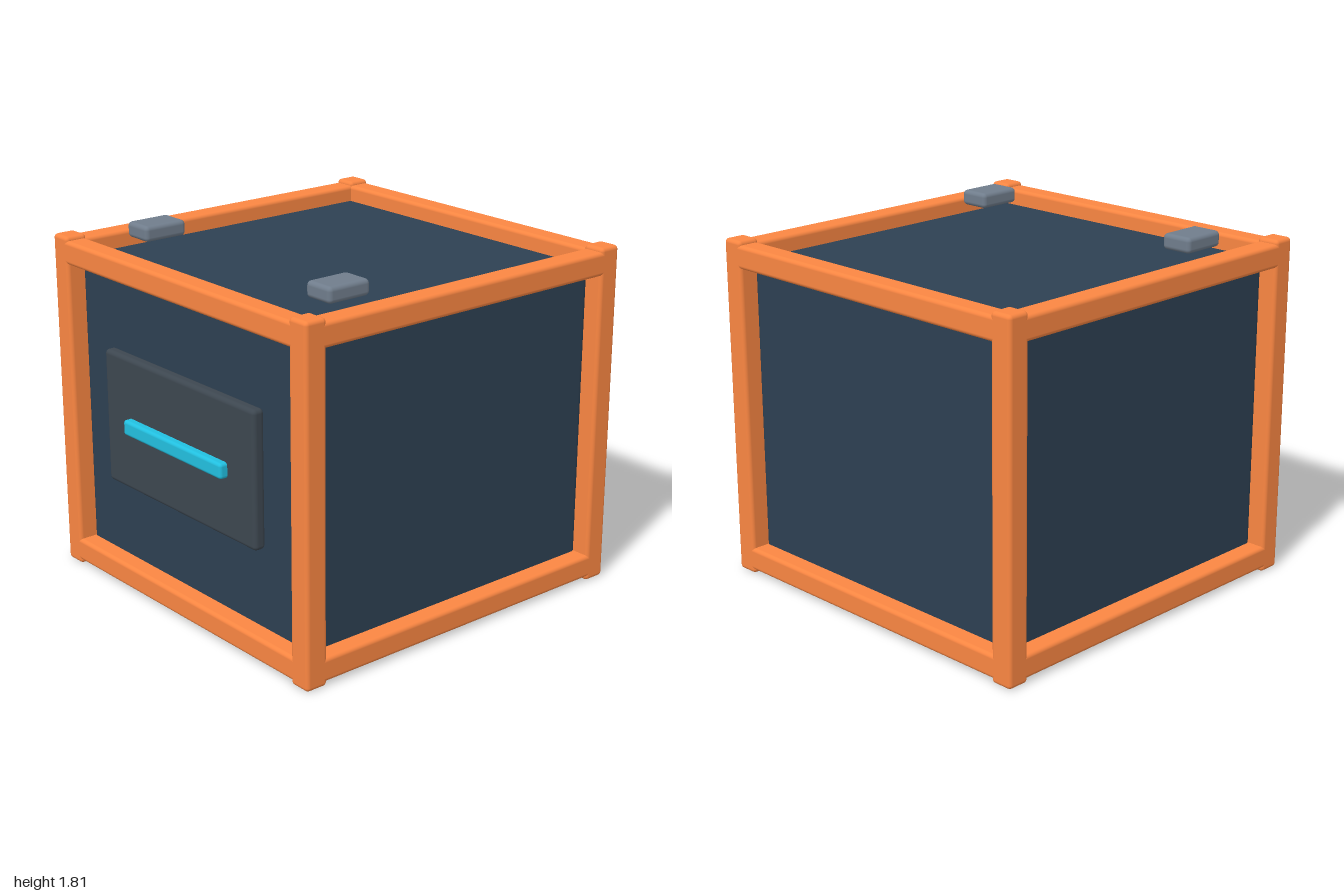
import * as THREE from 'three';
import { RoundedBoxGeometry } from 'three/addons/geometries/RoundedBoxGeometry.js';

const paint = (color) => new THREE.MeshStandardMaterial({ color });

export function createModel() {
  const model = new THREE.Group();
  model.name = 'framedCrate';

  const orange = paint(0xfa8642);
  const navy = paint(0x2d4052);
  const charcoal = paint(0x3d4750);
  const cyan = paint(0x22c0e0);
  const grey = paint(0x707d8c);

  // Rounded box given by its centre and size
  function block(name, material, [x, y, z], [w, h, d], radius, parent = model) {
    const mesh = new THREE.Mesh(new RoundedBoxGeometry(w, h, d, 4, radius), material);
    mesh.name = name;
    mesh.position.set(x, y, z);
    parent.add(mesh);
  }

  const T = 0.12;           // frame bar thickness
  const X = 0.926;          // bar centre lines
  const Z = 0.928;
  const CZ = -0.012;        // frame centre in z
  const LOW = 0.08, HIGH = 1.68;
  const R = 0.02;

  // Inner box, recessed behind the frame and sitting low in it
  block('body', navy, [0, 0.86, CZ], [1.784, 1.6, 1.784], 0.045);

  // Frame: four posts and eight rails
  const frame = new THREE.Group();
  frame.name = 'frame';
  model.add(frame);
  for (const sx of [-1, 1]) {
    for (const sz of [-1, 1]) {
      block('cornerPost', orange, [sx * X, 0.88, CZ + sz * Z], [T, 1.76, T], R, frame);
    }
  }
  for (const y of [LOW, HIGH]) {
    for (const s of [-1, 1]) {
      block('crossRail', orange, [0, y, CZ + s * Z], [2 * X, T, T], R, frame);
      block('sideRail', orange, [s * X, y, CZ], [T, T, 2 * Z], R, frame);
    }
  }

  // Front plate with its bar handle
  block('frontPlate', charcoal, [0, 0.905, 0.926], [1.188, 0.69, 0.065], 0.022);
  block('handleBar', cyan, [0, 0.904, 0.97], [0.785, 0.078, 0.06], 0.016);

  // Two pads above the lid
  for (const s of [-1, 1]) {
    block('topPad', grey, [s * 0.698, 1.77, 0.55], [0.168, 0.08, 0.242], 0.022);
  }

  return model;
}
